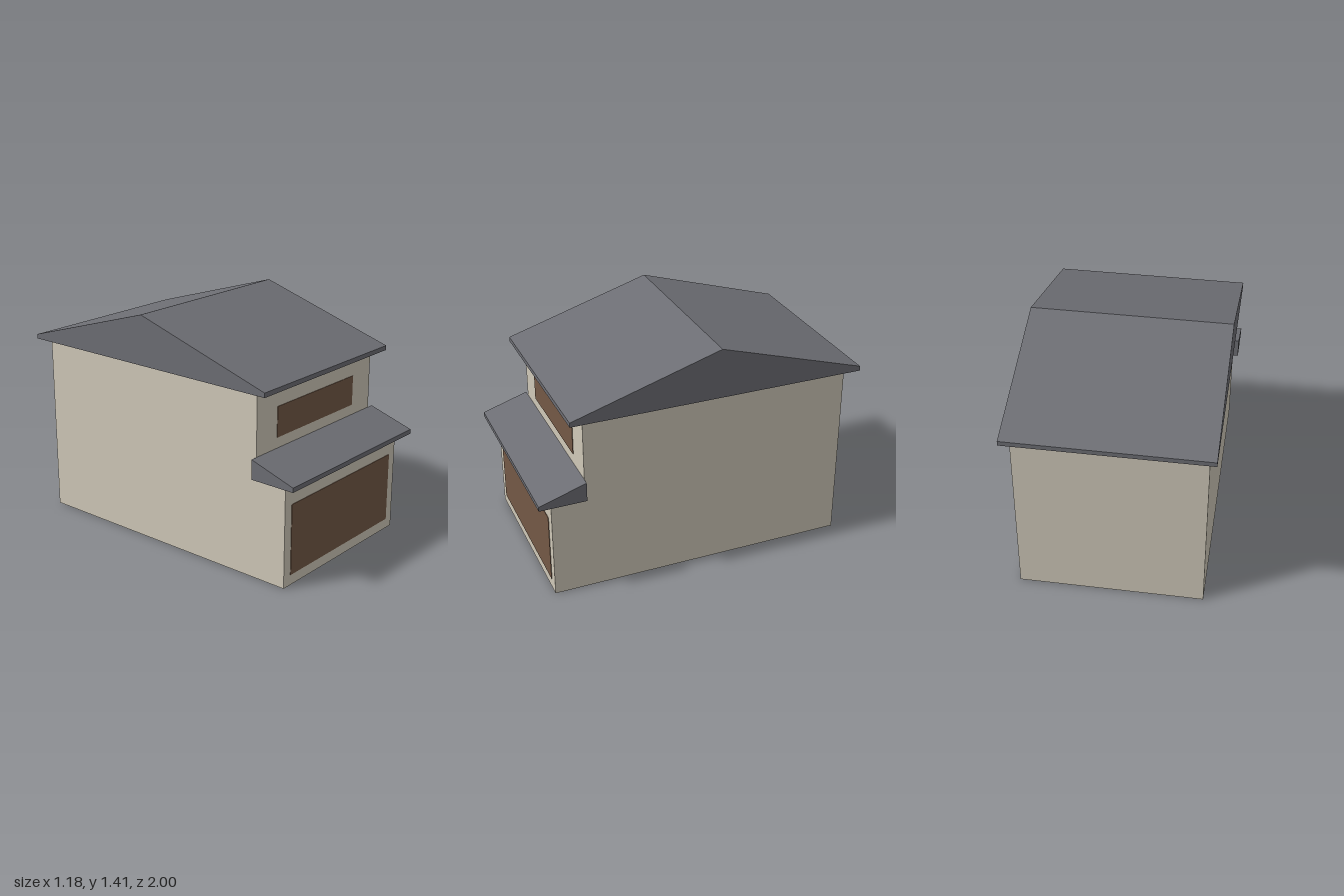
import * as THREE from 'three';

const paint = (color) => new THREE.MeshStandardMaterial({ color, flatShading: true });

// Side profile of [z, y] points, extruded across the full width in x
function extrudeAcross(name, profile, width, material) {
  const shape = new THREE.Shape(profile.map(([z, y]) => new THREE.Vector2(z, y)));
  const geometry = new THREE.ExtrudeGeometry(shape, { depth: width, bevelEnabled: false });
  geometry.translate(0, 0, -width / 2);
  geometry.rotateY(-Math.PI / 2);
  const mesh = new THREE.Mesh(geometry, material);
  mesh.name = name;
  return mesh;
}

// Thin panel standing just proud of a front wall
function frontPanel(name, width, bottom, top, wallZ, material) {
  const depth = 0.006;
  const mesh = new THREE.Mesh(new THREE.BoxGeometry(width, top - bottom, depth), material);
  mesh.position.set(0, (bottom + top) / 2, wallZ);
  mesh.name = name;
  return mesh;
}

export function createModel() {
  const house = new THREE.Group();
  house.name = 'house';

  const wall = paint(0xcfc8b8);
  const roof = paint(0x6d6e74);
  const wood = paint(0x735845);

  const wallWidth = 1.1, roofWidth = 1.185;
  const lowerFront = 0.918, upperFront = 0.716, back = -0.918;

  // Two-storey body, upper floor set back at the front
  house.add(extrudeAcross('walls', [
    [back, 0], [lowerFront, 0], [lowerFront, 0.617],
    [upperFront, 0.617], [upperFront, 1.107], [back, 1.107],
  ], wallWidth, wall));

  // Gable roof with a shallow fascia
  house.add(extrudeAcross('mainRoof', [
    [-1, 1.107], [0.8, 1.107], [0.8, 1.135], [-0.1, 1.41], [-1, 1.135],
  ], roofWidth, roof));

  // Lean-to roof over the projecting ground floor
  house.add(extrudeAcross('porchRoof', [
    [upperFront, 0.617], [1, 0.617], [1, 0.645], [upperFront, 0.735],
  ], roofWidth, roof));

  // Openings on the front
  house.add(frontPanel('garageDoor', 0.98, 0.063, 0.492, lowerFront, wood));
  house.add(frontPanel('upperWindow', 0.735, 0.799, 0.982, upperFront, wood));

  return house;
}
